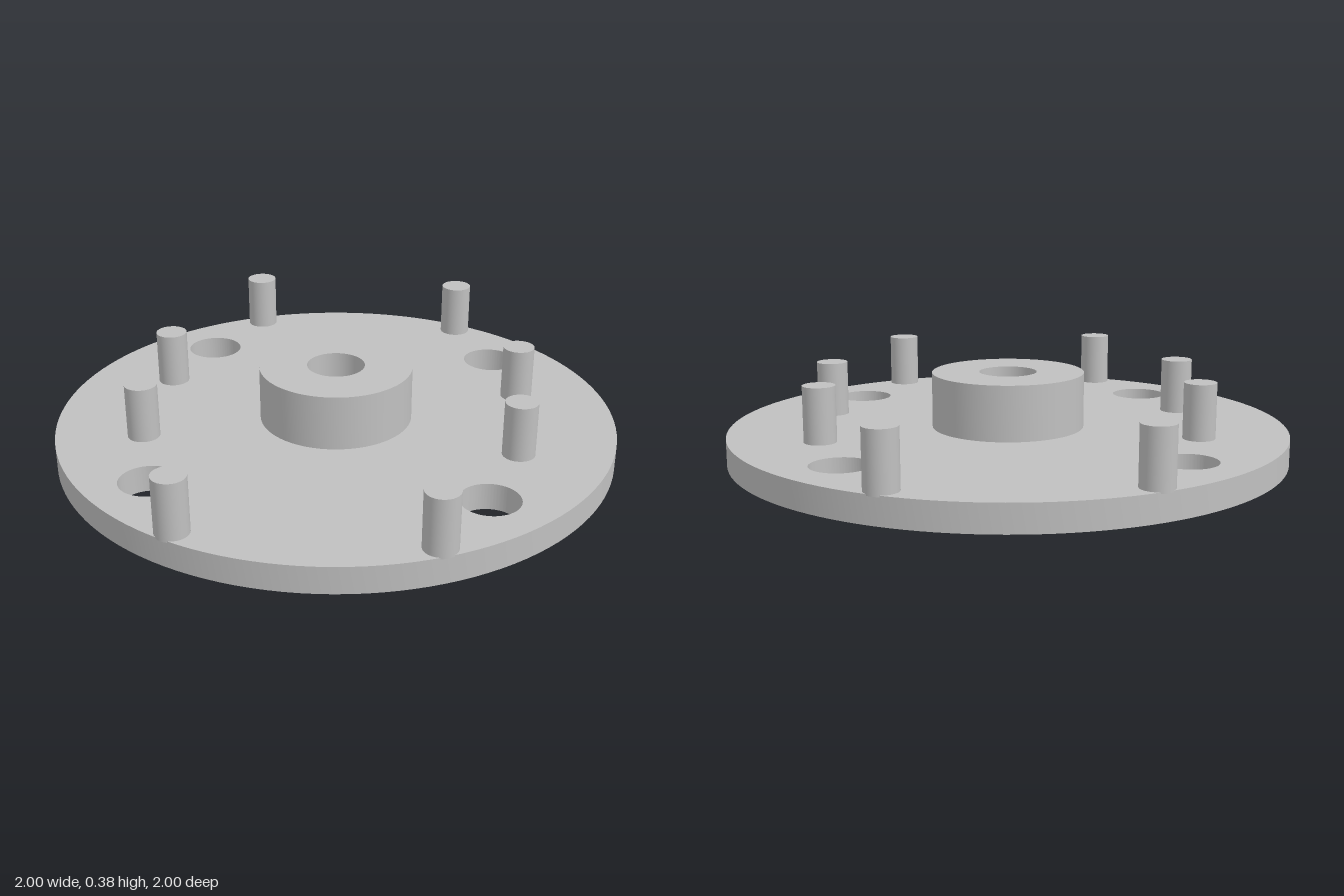
import * as THREE from 'three';
import { toCreasedNormals } from 'three/addons/utils/BufferGeometryUtils.js';

const HUB_RADIUS = 0.273, BORE_RADIUS = 0.103, HEIGHT = 0.377;
const PLATE_BOTTOM = 0.085, PLATE_TOP = 0.18;

function circlePath(x, y, r) {
  return new THREE.Path().absarc(x, y, r, 0, Math.PI * 2, true);
}

// Calls fn for the four mirrored positions of (x, z)
function mirror4(x, z, fn) {
  for (const sx of [-1, 1]) for (const sz of [-1, 1]) fn(sx * x, sz * z);
}

export function createModel() {
  const group = new THREE.Group();
  const metal = new THREE.MeshStandardMaterial({ color: 0xc0c0c0 });
  metal.name = 'grey metal';

  function add(name, geometry, x = 0, y = 0, z = 0) {
    const mesh = new THREE.Mesh(geometry, metal);
    mesh.name = name;
    mesh.position.set(x, y, z);
    group.add(mesh);
  }

  // Round plate with four bolt holes and an opening filled by the hub
  const disc = new THREE.Shape().absarc(0, 0, 1, 0, Math.PI * 2, false);
  disc.holes.push(circlePath(0, 0, HUB_RADIUS - 0.003));
  mirror4(0.556, 0.556, (x, z) => disc.holes.push(circlePath(x, z, 0.102)));
  const plate = new THREE.ExtrudeGeometry(disc, {
    depth: PLATE_TOP - PLATE_BOTTOM, bevelEnabled: false, curveSegments: 64,
  });
  plate.rotateX(-Math.PI / 2);
  add('plate', toCreasedNormals(plate, 0.6), 0, PLATE_BOTTOM, 0);

  // Hub with a through bore
  const profile = [
    [BORE_RADIUS, 0], [HUB_RADIUS, 0], [HUB_RADIUS, HEIGHT], [BORE_RADIUS, HEIGHT], [BORE_RADIUS, 0],
  ].map(([x, y]) => new THREE.Vector2(x, y));
  add('hub', toCreasedNormals(new THREE.LatheGeometry(profile, 64), 0.6));

  // Eight upright pins
  const pinBottom = PLATE_TOP - 0.005;
  const pin = new THREE.CylinderGeometry(0.057, 0.057, HEIGHT - pinBottom, 32);
  const addPin = (x, z) => add('pin', pin, x, (HEIGHT + pinBottom) / 2, z);
  mirror4(0.408, 0.855, addPin);
  mirror4(0.652, 0.235, addPin);

  return group;
}
